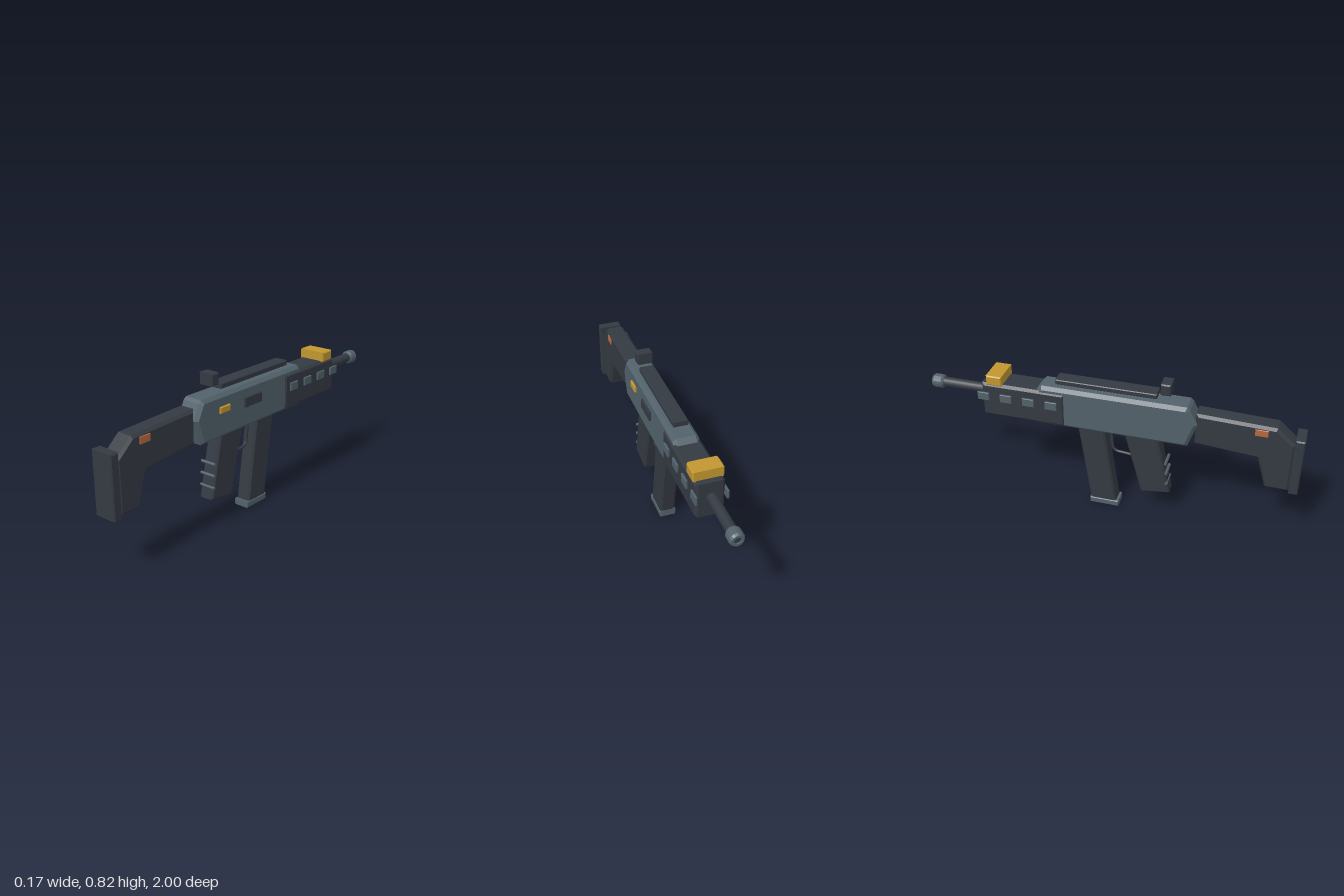
import * as THREE from 'three';

const mat = (name, color) => {
  const m = new THREE.MeshStandardMaterial({ color });
  m.name = name;
  return m;
};

export function createModel() {
  const dark = mat('charcoal', 0x343a42);
  const slate = mat('slate', 0x52616b);
  const gold = mat('gold', 0xc1972f);
  const orange = mat('orange', 0xb5683c);
  const root = new THREE.Group();

  const add = (name, geometry, material) => {
    const mesh = new THREE.Mesh(geometry, material);
    mesh.name = name;
    root.add(mesh);
    return mesh;
  };

  // Side outline of [z, y] points, extruded across x between x0 and x1 with chamfered edges
  const slab = (name, points, x0, x1, bevel, material) => {
    const shape = new THREE.Shape(points.map(([z, y]) => new THREE.Vector2(z, y)));
    const geo = new THREE.ExtrudeGeometry(shape, {
      depth: x1 - x0 - 2 * bevel, bevelEnabled: true, bevelSegments: 1,
      bevelThickness: bevel, bevelSize: bevel, bevelOffset: -bevel,
    });
    geo.rotateY(-Math.PI / 2).translate(x1 - bevel, 0, 0);
    return add(name, geo, material);
  };
  const block = (name, z0, z1, y0, y1, x0, x1, bevel, material) =>
    slab(name, [[z0, y0], [z1, y0], [z1, y1], [z0, y1]], x0, x1, bevel, material);

  // Stock and butt plate
  slab('stock', [
    [0.83, 0.305], [0.955, 0.305], [0.955, 0.585], [0.86, 0.668],
    [0.455, 0.682], [0.455, 0.503], [0.78, 0.477],
  ], -0.052, 0.052, 0.014, dark);
  block('buttPlate', 0.953, 1, 0.3, 0.625, -0.064, 0.064, 0.006, dark);

  // Receiver body
  slab('receiver', [
    [-0.385, 0.485], [0.42, 0.485], [0.465, 0.62], [0.425, 0.7],
    [0.41, 0.715], [-0.36, 0.715], [-0.385, 0.69],
  ], -0.067, 0.067, 0.018, slate);

  // Handguard with side vents
  block('handguard', -0.685, -0.228, 0.495, 0.69, -0.074, 0.074, 0.014, dark);
  for (const z of [-0.301, -0.426, -0.551, -0.676]) {
    for (const s of [-1, 1]) {
      block('vent', z - 0.032, z + 0.032, 0.593, 0.638,
        s * 0.078 - 0.006, s * 0.078 + 0.006, 0.002, slate);
    }
  }

  // Rail and sights
  block('topRail', -0.285, 0.25, 0.728, 0.755, -0.04, 0.04, 0.004, dark);
  block('rearSight', 0.269, 0.321, 0.757, 0.82, -0.043, 0.043, 0.006, dark);
  block('frontSight', -0.655, -0.57, 0.685, 0.74, -0.078, 0.078, 0.006, gold);

  // Barrel
  const barrel = add('barrel', new THREE.CylinderGeometry(0.027, 0.027, 0.25, 16), dark);
  barrel.rotation.x = Math.PI / 2;
  barrel.position.set(0, 0.616, -0.825);

  // Chamfered muzzle with a dark bore
  const profile = [[0, 0], [0.03, 0], [0.038, 0.012], [0.038, 0.054], [0.03, 0.066],
    [0.018, 0.066], [0.018, 0.056], [0, 0.056]].map(([r, y]) => new THREE.Vector2(r, y));
  const muzzleGeo = new THREE.LatheGeometry(profile, 16).toNonIndexed();
  muzzleGeo.computeVertexNormals();
  const muzzle = add('muzzle', muzzleGeo, slate);
  muzzle.rotation.x = -Math.PI / 2;
  muzzle.position.set(0, 0.616, -0.934);
  const bore = add('bore', new THREE.CircleGeometry(0.018, 16), dark);
  bore.rotation.y = Math.PI;
  bore.position.set(0, 0.616, -0.992);

  // Side details
  block('ejectionPort', -0.025, 0.11, 0.6, 0.653, 0.06, 0.078, 0.003, dark);
  block('selector', 0.224, 0.298, 0.619, 0.652, 0.06, 0.078, 0.003, gold);
  for (const s of [-1, 1]) {
    block('stockBadge', 0.753, 0.818, 0.616, 0.653,
      s * 0.051 - 0.006, s * 0.051 + 0.006, 0.002, orange);
  }

  // Grip with cross ribs
  slab('grip', [[0.182, 0.13], [0.337, 0.152], [0.262, 0.5], [0.082, 0.5]],
    -0.043, 0.043, 0.01, dark);
  [[0.311, 0.343], [0.316, 0.28], [0.32, 0.215]].forEach(([z, y]) => {
    const rib = add('gripRib', new THREE.CylinderGeometry(0.008, 0.008, 0.092, 8), slate);
    rib.rotation.z = Math.PI / 2;
    rib.position.set(0, y, z);
  });

  // Trigger guard
  const guard = new THREE.CatmullRomCurve3([
    [0.0, 0.5], [0.008, 0.42], [0.017, 0.36], [0.035, 0.346], [0.08, 0.341], [0.15, 0.332],
  ].map(([z, y]) => new THREE.Vector3(0, y, z)));
  add('triggerGuard', new THREE.TubeGeometry(guard, 24, 0.008, 8), dark);

  // Magazine and base plate
  slab('magazine', [[-0.1, 0.025], [0.044, 0.025], [-0.025, 0.5], [-0.17, 0.5]],
    -0.042, 0.042, 0.01, dark);
  block('magazineBase', -0.105, 0.056, 0, 0.036, -0.046, 0.046, 0.005, slate);

  return root;
}
